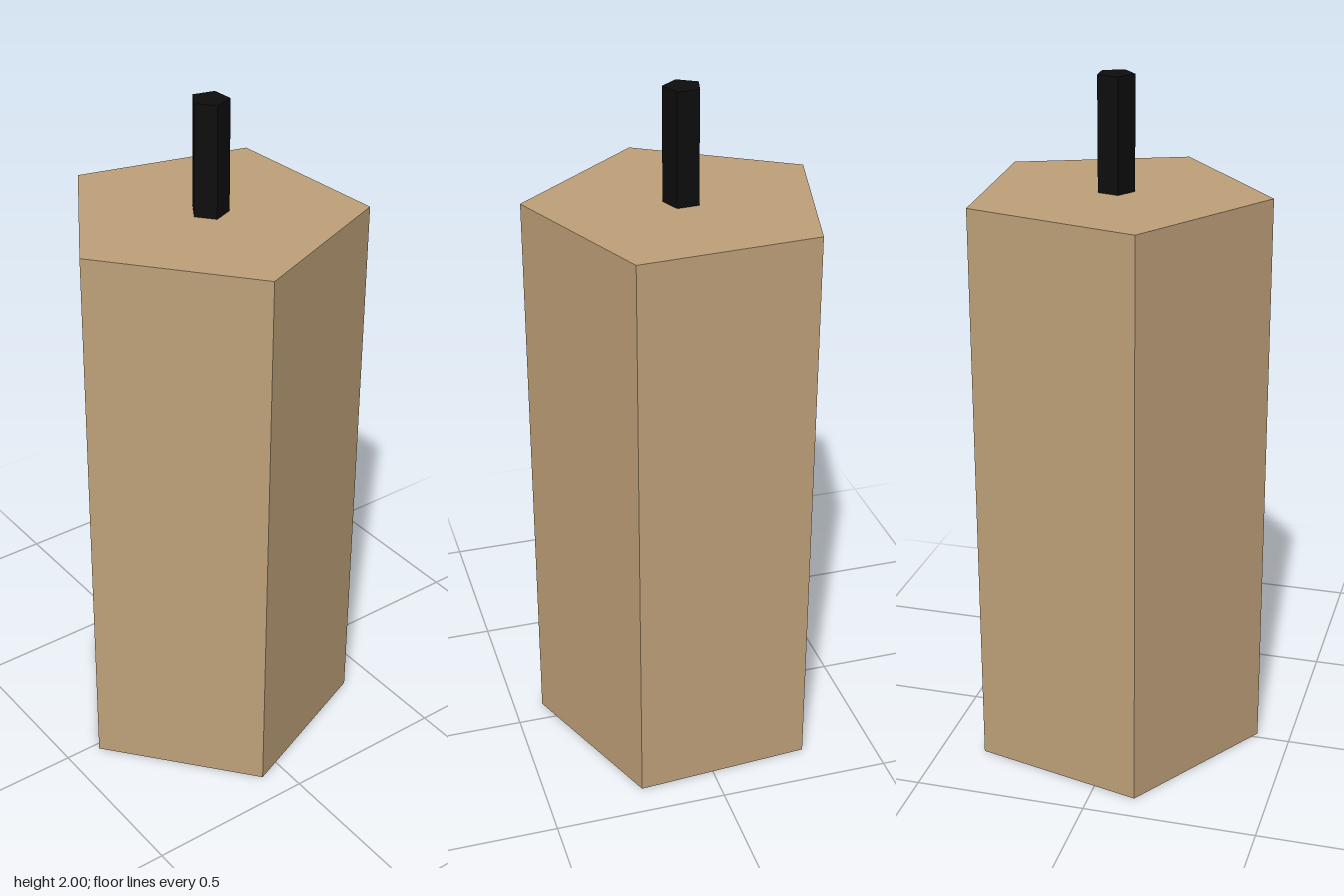
import * as THREE from 'three';

// Upright five-sided prism standing on yBottom
function prism(name, radius, yBottom, yTop, material) {
  const geometry = new THREE.CylinderGeometry(radius, radius, yTop - yBottom, 5, 1, false, 0.068);
  const mesh = new THREE.Mesh(geometry, material);
  mesh.name = name;
  mesh.position.set(-0.0095, (yBottom + yTop) / 2, -0.0347);
  return mesh;
}

export function createModel() {
  const tan = new THREE.MeshStandardMaterial({ color: 0xbfa179, flatShading: true });
  tan.name = 'tan';
  const black = new THREE.MeshStandardMaterial({ color: 0x0d0d0d, flatShading: true });
  black.name = 'black';

  const group = new THREE.Group();
  group.name = 'candle';
  group.add(
    prism('body', 0.436, 0, 1.677, tan),
    prism('wick', 0.054, 1.66, 2, black), // sunk slightly into the body
  );
  return group;
}
